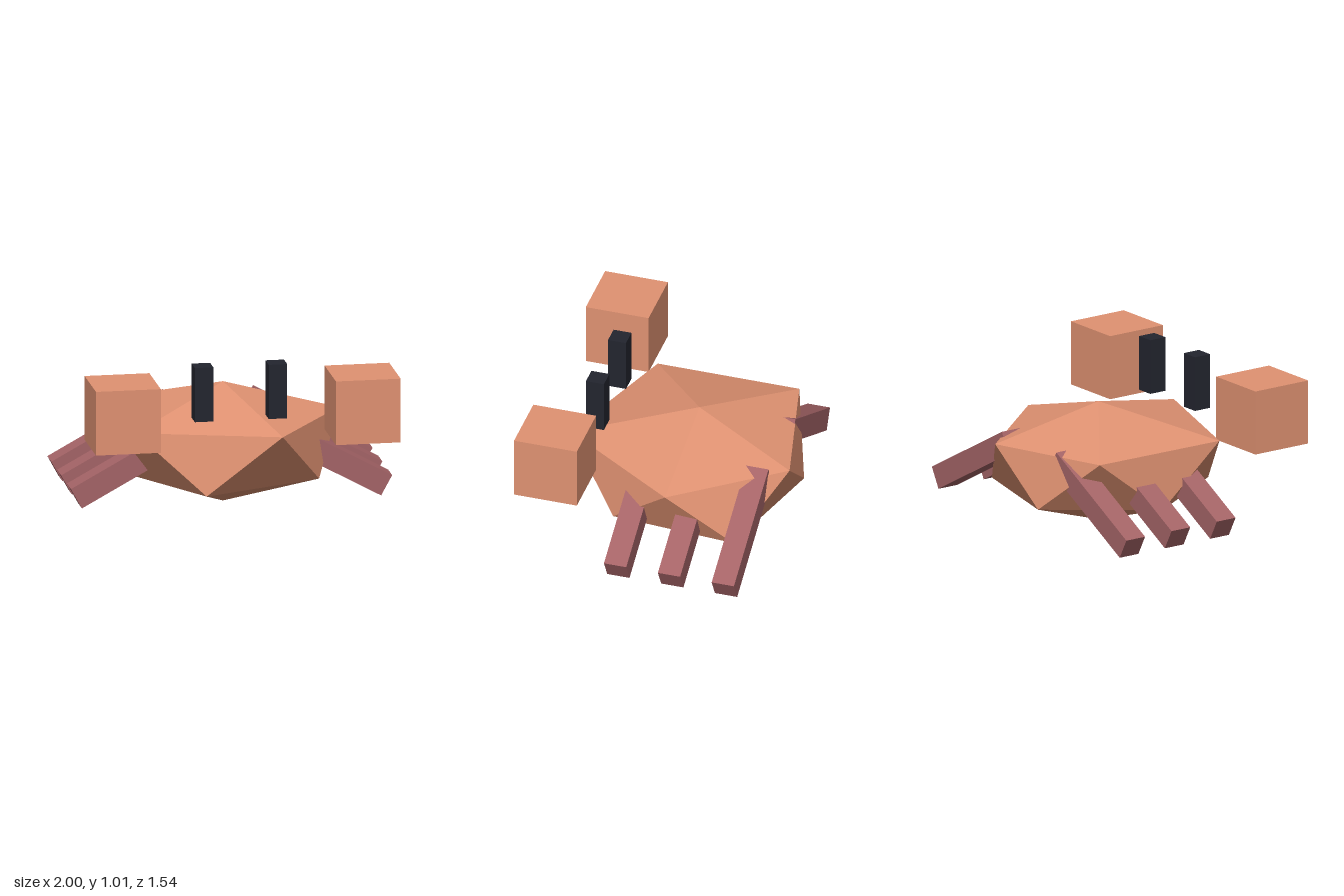
import * as THREE from 'three';

const paint = (name, color) => {
  const m = new THREE.MeshStandardMaterial({ color });
  m.name = name;
  return m;
};

// Faceted shell: two staggered five-point rings closed by a top and a bottom point
function shellGeometry() {
  const top = [0, 0.76, -0.13], bottom = [0, 0.005, -0.13];
  const upper = [[0.72, 0.565, -0.13], [0.24, 0.583, 0.625], [-0.625, 0.573, 0.33], [-0.62, 0.575, -0.58], [0.2, 0.55, -0.77]];
  const lower = [[0.53, 0.218, 0.26], [-0.22, 0.208, 0.545], [-0.662, 0.22, -0.13], [-0.2, 0.22, -0.74], [0.57, 0.205, -0.52]];
  const points = [];
  for (let i = 0; i < 5; i++) {
    const j = (i + 1) % 5;
    points.push(
      top, upper[j], upper[i],
      upper[i], upper[j], lower[i],
      lower[i], upper[j], lower[j],
      bottom, lower[i], lower[j]
    );
  }
  const geometry = new THREE.BufferGeometry();
  geometry.setAttribute('position', new THREE.Float32BufferAttribute(points.flat(), 3));
  geometry.computeVertexNormals();
  return geometry;
}

export function createModel() {
  const model = new THREE.Group();
  model.name = 'crab';
  const shellPaint = paint('salmon shell', 0xe09272);
  const legPaint = paint('dusky red legs', 0xa56467);
  const eyePaint = paint('dark eyes', 0x23252f);

  const add = (name, geometry, material, x, y, z) => {
    const mesh = new THREE.Mesh(geometry, material);
    mesh.name = name;
    mesh.position.set(x, y, z);
    model.add(mesh);
    return mesh;
  };

  add('shell', shellGeometry(), shellPaint, 0, 0, 0);

  const clawBox = new THREE.BoxGeometry(0.403, 0.403, 0.403);
  const eyeBox = new THREE.BoxGeometry(0.115, 0.343, 0.115);
  const legBox = new THREE.BoxGeometry(0.82, 0.143, 0.143);

  for (const [side, s] of [['left', 1], ['right', -1]]) {
    // Floating claw blocks and eye stalks
    add(side + 'Claw', clawBox, shellPaint, s * 0.747, 0.757, 0.566);
    add(side + 'Eye', eyeBox, eyePaint, s * 0.23, 0.844, 0.452);

    // Three legs sloping down and outwards
    [0.103, -0.243, -0.588].forEach((z, i) => {
      const leg = add(side + 'Leg' + (i + 1), legBox, legPaint, s * 0.606, 0.331, z);
      leg.rotation.z = -s * 0.5;
    });
  }
  return model;
}
